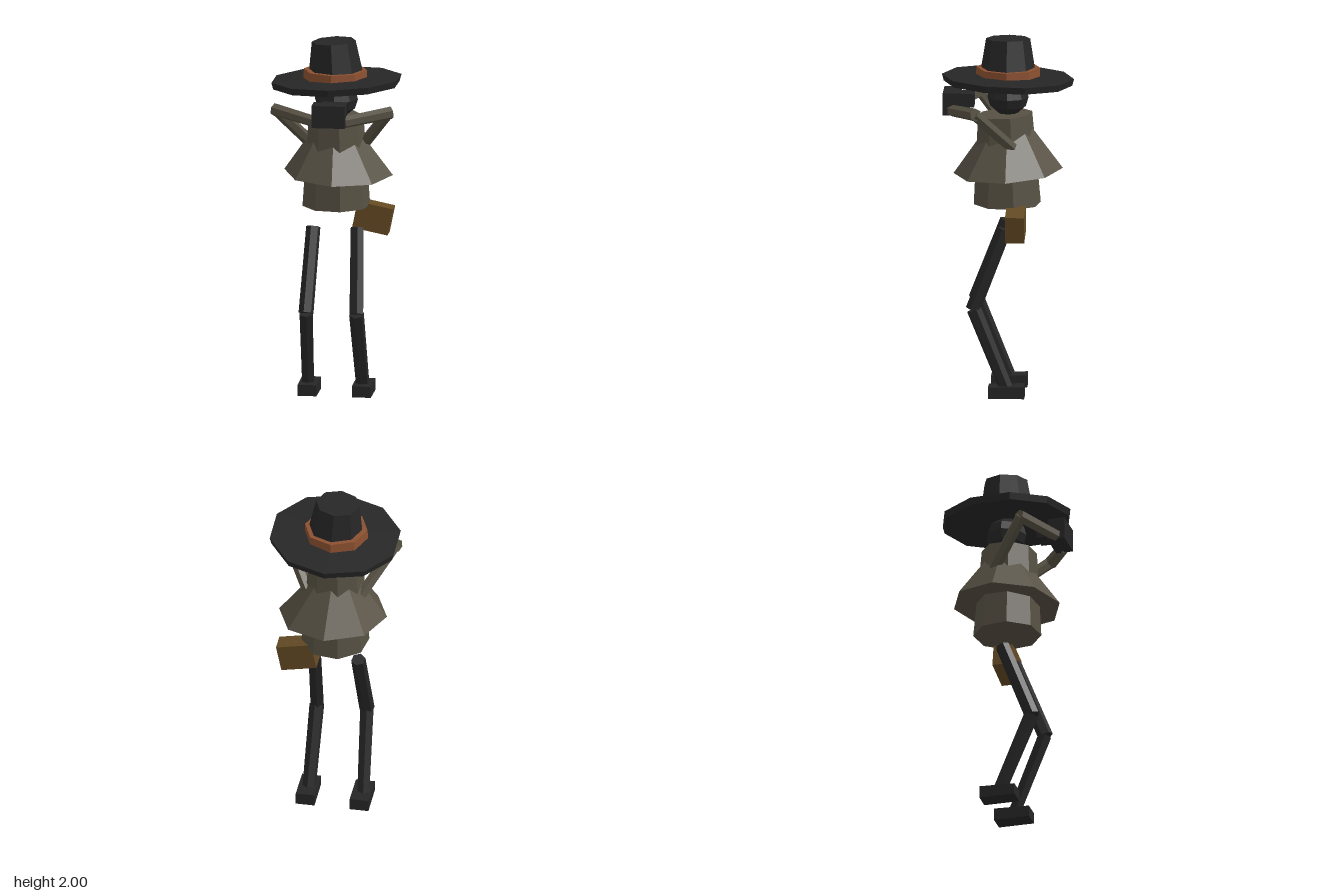
import * as THREE from 'three';

const paint = (name, color) => {
  const m = new THREE.MeshStandardMaterial({ color });
  m.name = name;
  return m;
};

export function createModel() {
  const model = new THREE.Group();
  model.name = 'hattedFigure';
  const black = paint('charcoal cloth', 0x262626);
  const olive = paint('olive coat', 0x575143);
  const rust = paint('rust band', 0x8c5030);
  const brown = paint('brown leather', 0x644a24);

  // Faceted mesh: unshared corners give one normal per face
  const add = (name, geo, mat, x = 0, y = 0, z = 0) => {
    const flat = geo.index ? geo.toNonIndexed() : geo;
    flat.computeVertexNormals();
    const mesh = new THREE.Mesh(flat, mat);
    mesh.name = name;
    mesh.position.set(x, y, z);
    model.add(mesh);
    return mesh;
  };

  // Move vertices of a geometry by a rule
  const bend = (geo, rule) => {
    const p = geo.attributes.position;
    const v = new THREE.Vector3();
    for (let i = 0; i < p.count; i++) {
      v.fromBufferAttribute(p, i);
      rule(v);
      p.setXYZ(i, v.x, v.y, v.z);
    }
    return geo;
  };

  // Straight six-sided limb between two points
  const limb = (name, a, b, ra, rb, mat) => {
    const from = new THREE.Vector3(...a);
    const to = new THREE.Vector3(...b);
    const dir = to.clone().sub(from);
    const mesh = add(name, new THREE.CylinderGeometry(rb, ra, dir.length(), 6), mat);
    mesh.position.copy(from).add(to).multiplyScalar(0.5);
    mesh.quaternion.setFromUnitVectors(new THREE.Vector3(0, 1, 0), dir.normalize());
  };

  // Hat: tilted ten-sided brim, band and slightly crooked crown
  add('hatBrim', bend(new THREE.CylinderGeometry(0.365, 0.355, 0.038, 10), (v) => {
    const r = Math.hypot(v.x, v.z);
    v.y += 0.04 * v.x + 0.03 * v.z + (r < 0.1 ? 0.012 : 0);
  }), black, 0, 1.76, 0);
  add('hatBand', new THREE.CylinderGeometry(0.175, 0.178, 0.055, 8), rust, -0.006, 1.803, 0);
  add('hatCrown', bend(new THREE.CylinderGeometry(0.122, 0.156, 0.21, 8), (v) => {
    if (v.y > 0) {
      v.x -= 0.015;
      v.y += 0.055 * v.x;
    }
  }), black, 0, 1.886, 0);

  // Head tucked under the brim
  const head = add('head', new THREE.SphereGeometry(0.12, 8, 6), black, 0, 1.665, 0);
  head.scale.set(1, 0.85, 0.95);

  // Coat body leaning forward at the collar, with a flared cape over it
  add('coatBody', bend(new THREE.CylinderGeometry(0.152, 0.188, 0.505, 8, 1, false, 0.24), (v) => {
    if (v.y > 0) {
      v.z += 0.012;
      v.y -= 0.06 * v.z;
    }
  }), olive, 0, 1.317, 0.004);
  add('coatCape', bend(new THREE.CylinderGeometry(0.13, 0.302, 0.235, 8), (v) => {
    v.y -= 0.06 * v.z + 0.03 * v.x;
    if (v.y < 0) v.x += 0.012;
  }), olive, 0, 1.368, -0.002);

  // Satchel hanging at the left hip
  const bag = add('satchel', new THREE.BoxGeometry(0.2, 0.152, 0.105), brown, 0.2, 0.993, -0.053);
  bag.rotation.z = -0.2;

  for (const s of [1, -1]) {
    const side = s > 0 ? 'left' : 'right';
    const dx = s > 0 ? 0 : -0.01;
    // Arms raised to the front of the face
    limb(side + 'UpperArm', [s * 0.15, 1.41, -0.03], [s * 0.31, 1.63, 0.17], 0.033, 0.033, olive);
    limb(side + 'Forearm', [s * 0.325, 1.63, 0.16], [s * 0.08, 1.6, 0.305], 0.036, 0.033, olive);
    // Bent legs and feet
    limb(side + 'Thigh', [s * 0.117 + dx, 0.94, 0.012], [s * 0.135 + dx, 0.49, 0.186], 0.04, 0.042, black);
    limb(side + 'Shin', [s * 0.135 + dx, 0.49, 0.18], [s * 0.147 + dx, 0.045, 0.0], 0.042, 0.038, black);
    add(side + 'Foot', bend(new THREE.BoxGeometry(0.105, 0.065, 0.2), (v) => {
      if (v.y > 0) v.y -= 0.03 * v.z;
    }), black, s * 0.151, 0.0335, 0);
  }

  // Boxy device held before the face, with its narrower rear eyepiece
  add('heldDevice', new THREE.BoxGeometry(0.185, 0.125, 0.097), black, 0, 1.637, 0.307);
  add('deviceEyepiece', new THREE.BoxGeometry(0.11, 0.075, 0.08), black, 0, 1.65, 0.225);

  return model;
}
